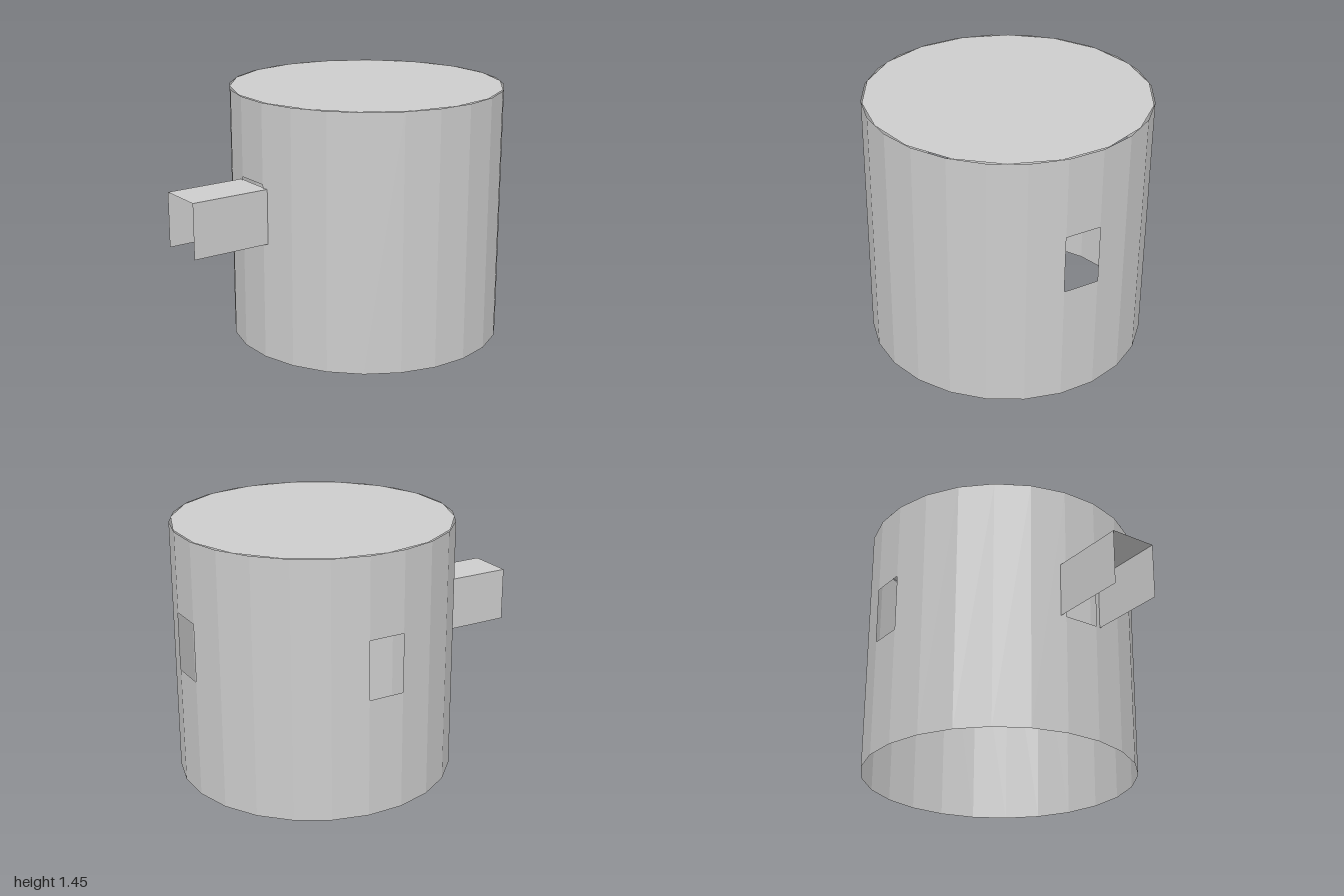
import * as THREE from 'three';
import { mergeGeometries } from 'three/addons/utils/BufferGeometryUtils.js';

const APOTHEM = 0.775, SIDES = 24, HEIGHT = 1.45, CENTRE_Z = -0.225;
const HOLE_BOTTOM = 0.67, HOLE_TOP = 1.0;

export function createModel() {
  const model = new THREE.Group();
  model.name = 'roundHut';
  const grey = new THREE.MeshStandardMaterial({ color: 0xcccccc, side: THREE.DoubleSide, flatShading: true });
  grey.name = 'plain grey';

  const add = (name, geometry) => {
    const mesh = new THREE.Mesh(geometry, grey);
    mesh.name = name;
    model.add(mesh);
    return mesh;
  };

  // Wall: flat panels around a ring, with openings at the front, back and -x side
  const step = (Math.PI * 2) / SIDES;
  const width = 2 * APOTHEM * Math.tan(step / 2);
  const openings = [0, 12, 18];
  const panels = [];
  for (let i = 0; i < SIDES; i++) {
    const spans = openings.includes(i) ? [[0, HOLE_BOTTOM], [HOLE_TOP, HEIGHT]] : [[0, HEIGHT]];
    for (const [low, high] of spans) {
      panels.push(new THREE.PlaneGeometry(width, high - low)
        .translate(0, (low + high) / 2, APOTHEM)
        .rotateY(i * step));
    }
  }
  add('wall', mergeGeometries(panels)).position.z = CENTRE_Z;

  // Roof: a flat disc with fewer sides than the wall
  const roof = add('roof', new THREE.CircleGeometry(0.777, 18).rotateX(-Math.PI / 2));
  roof.position.set(0, HEIGHT, CENTRE_Z);

  // Entrance canopy: two sides and a top, open below and at both ends
  const back = 0.54, front = 1, half = 0.133, low = HOLE_BOTTOM, high = 0.98;
  const depth = front - back, midZ = (front + back) / 2;
  const sides = [-1, 1].map((s) => new THREE.PlaneGeometry(depth, high - low)
    .rotateY(s * Math.PI / 2)
    .translate(s * half, (low + high) / 2, midZ));
  const top = new THREE.PlaneGeometry(half * 2, depth).rotateX(-Math.PI / 2).translate(0, high, midZ);
  add('entranceCanopy', mergeGeometries([...sides, top]));

  return model;
}
